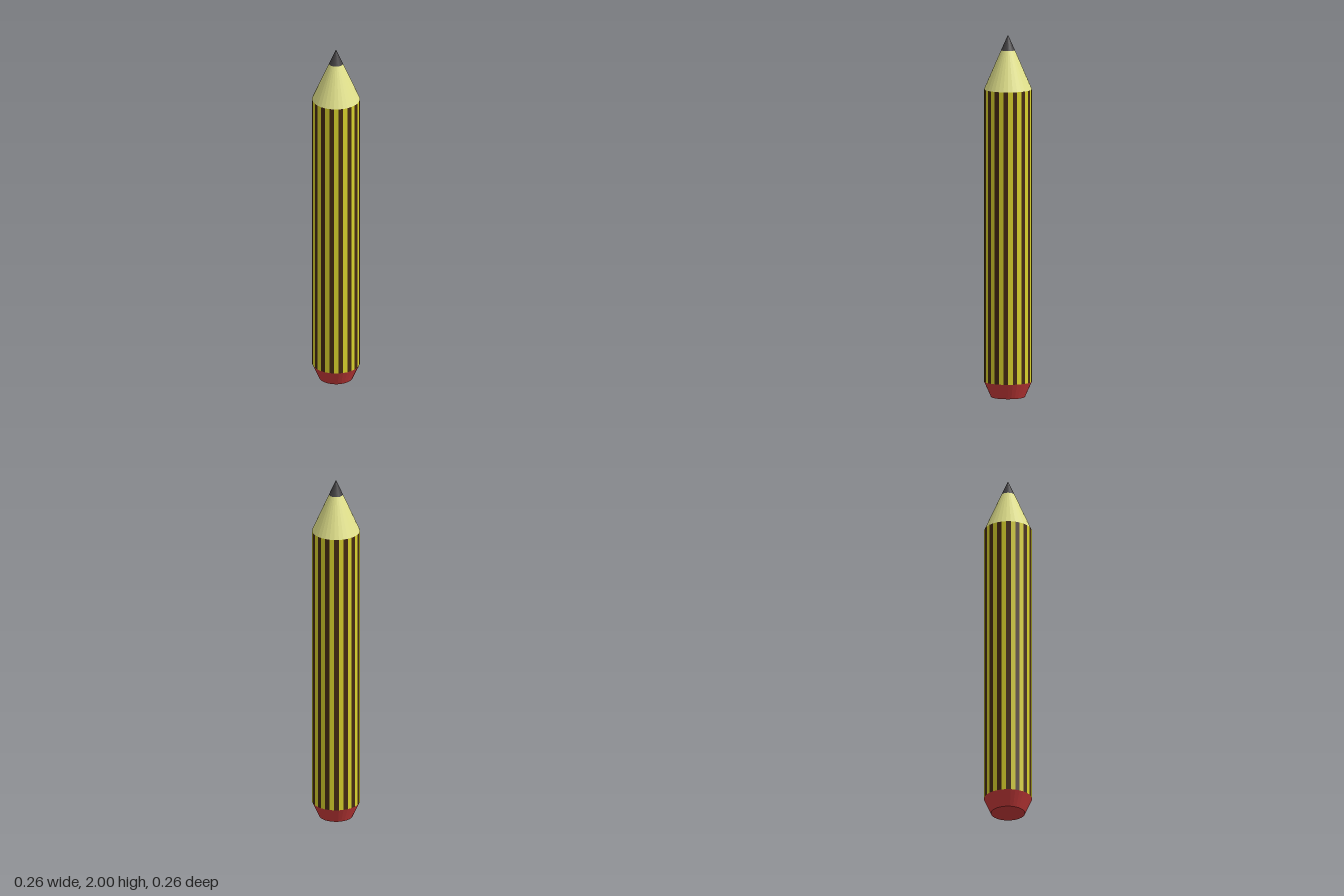
import * as THREE from 'three';
import { mergeGeometries } from 'three/addons/utils/BufferGeometryUtils.js';

const SIDES = 32;
const STEP = (Math.PI * 2) / SIDES;
const R = 0.131;                                   // barrel radius
const Y = { barrel: 0.085, wood: 1.70, lead: 1.915, tip: 2 };
const R_LEAD = 0.038, R_END = 0.093;

function part(name, geometry, color) {
  const material = new THREE.MeshStandardMaterial({ color, flatShading: true });
  const mesh = new THREE.Mesh(geometry, material);
  mesh.name = name;
  return mesh;
}

// A round section between two heights
function section(rBottom, rTop, y0, y1, open = true) {
  return new THREE.CylinderGeometry(rTop, rBottom, y1 - y0, SIDES, 1, open).translate(0, (y0 + y1) / 2, 0);
}

// Every second facet of the barrel, starting at the given one
function stripes(first) {
  const facets = [];
  for (let i = first; i < SIDES; i += 2) {
    facets.push(new THREE.CylinderGeometry(R, R, Y.wood - Y.barrel, 1, 1, true, i * STEP, STEP));
  }
  return mergeGeometries(facets).translate(0, (Y.barrel + Y.wood) / 2, 0);
}

export function createModel() {
  const pencil = new THREE.Group();
  pencil.name = 'pencil';
  pencil.add(
    part('end', section(R_END, R, 0, Y.barrel, false), 0xc83a3a),
    part('darkStripes', stripes(0), 0x452a12),
    part('yellowStripes', stripes(1), 0xd8d22c),
    part('wood', section(R, R_LEAD, Y.wood, Y.lead), 0xe2e28c),
    part('lead', section(R_LEAD, 0, Y.lead, Y.tip), 0x444244),
  );
  return pencil;
}
